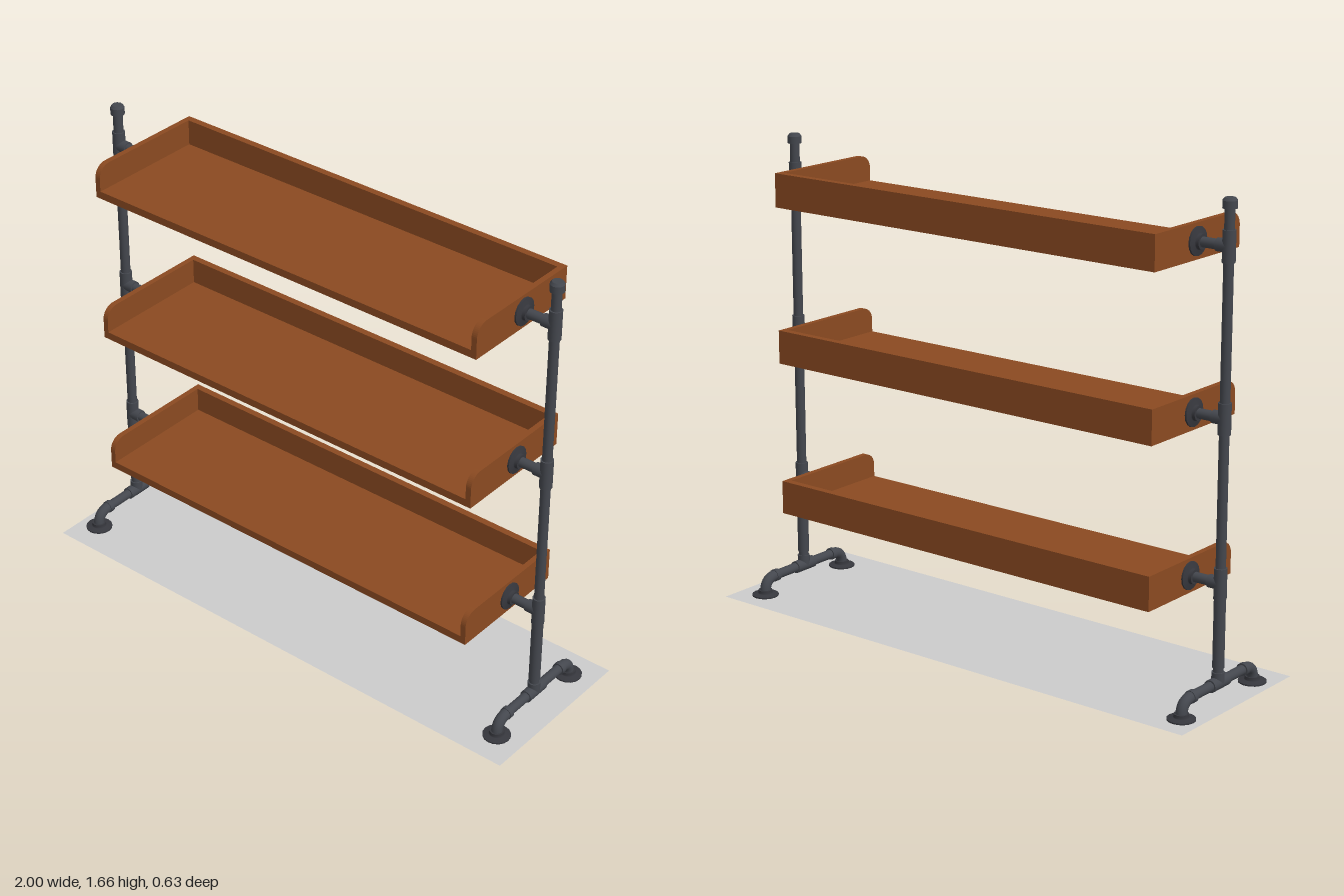
import * as THREE from 'three';

const mat = (name, color, extra = {}) => {
  const m = new THREE.MeshStandardMaterial({ color, ...extra });
  m.name = name;
  return m;
};

export function createModel() {
  const wood = mat('brown wood', 0x8b4a21);
  const steel = mat('dark steel pipe', 0x44474e);
  const iron = mat('black iron flange', 0x36373d);
  const grey = mat('light grey floor', 0xcccccc, { side: THREE.DoubleSide });

  const model = new THREE.Group();
  model.name = 'pipeShelf';
  const cx = -0.012, pipeZ = -0.006;
  const postX = 0.913, shelfHalf = 0.794, depth = 0.466;
  const shelfBottoms = [0.343, 0.892, 1.446], shelfH = 0.119;
  const armOffset = 0.06;
  const R = 0.017, FIT = 0.022;

  const add = (parent, name, geo, material, x = 0, y = 0, z = 0) => {
    const m = new THREE.Mesh(geo, material);
    m.name = name;
    m.position.set(x, y, z);
    parent.add(m);
    return m;
  };

  // cylinder running from one coordinate to another along an axis
  const rod = (parent, name, axis, a, b, r, at, material = steel) => {
    const geo = new THREE.CylinderGeometry(r, r, Math.abs(b - a), 16);
    if (axis === 'x') geo.rotateZ(Math.PI / 2);
    if (axis === 'z') geo.rotateX(Math.PI / 2);
    const m = add(parent, name, geo, material, ...at);
    m.position[axis] = (a + b) / 2;
    return m;
  };

  // round flange with a raised hub, its plate at y = 0
  const flangeGeo = new THREE.LatheGeometry(
    [[0, 0], [0.048, 0], [0.048, 0], [0.048, 0.006], [0.048, 0.006], [0.028, 0.01],
      [0.025, 0.012], [0.025, 0.022], [0.025, 0.022], [0, 0.022]].map(([x, y]) => new THREE.Vector2(x, y)), 16);

  // floor plate
  const floor = new THREE.PlaneGeometry(2, 0.63);
  floor.rotateX(-Math.PI / 2);
  add(model, 'floorPlate', floor, grey, 0, 0.001, 0);

  // tray shelves
  const endT = 0.02, baseT = 0.027, backT = 0.025, round = 0.047;
  const side = new THREE.Shape();
  side.moveTo(-depth / 2, 0);
  side.lineTo(depth / 2, 0);
  side.lineTo(depth / 2, shelfH - round);
  side.absarc(depth / 2 - round, shelfH - round, round, 0, Math.PI / 2, false);
  side.lineTo(-depth / 2, shelfH);
  const sideGeo = new THREE.ExtrudeGeometry(side, { depth: endT, bevelEnabled: false, curveSegments: 6 });
  sideGeo.rotateY(-Math.PI / 2);
  sideGeo.translate(endT / 2, 0, 0);

  for (const y of shelfBottoms) {
    const shelf = new THREE.Group();
    shelf.name = 'shelf';
    shelf.position.set(cx, y, 0);
    model.add(shelf);
    const inner = 2 * (shelfHalf - endT);
    add(shelf, 'shelfBoard', new THREE.BoxGeometry(inner, baseT, depth), wood, 0, baseT / 2, 0);
    add(shelf, 'backBoard', new THREE.BoxGeometry(inner, shelfH - baseT, backT), wood,
      0, (shelfH + baseT) / 2, (backT - depth) / 2);
    for (const s of [-1, 1]) {
      // mirror the end board about the z axis
      const end = add(shelf, 'endBoard', sideGeo, wood, s * (shelfHalf - endT / 2), 0, 0);
      end.scale.set(1, 1, 1);
    }
  }

  // pipe frames, one at each end
  for (const s of [-1, 1]) {
    const frame = new THREE.Group();
    frame.name = s > 0 ? 'leftFrame' : 'rightFrame';
    frame.position.set(cx + s * postX, 0, pipeZ);
    model.add(frame);

    rod(frame, 'post', 'y', 0.06, 1.64, R, [0, 0, 0]);
    rod(frame, 'lowerPostSleeve', 'y', 0.115, 0.36, 0.02, [0, 0, 0]);
    rod(frame, 'postCap', 'y', 1.625, 1.65, 0.0245, [0, 0, 0]);
    const dome = new THREE.CylinderGeometry(0.018, 0.0245, 0.009, 16);
    add(frame, 'capTop', dome, steel, 0, 1.6545, 0);

    // arms carrying the shelves
    for (const b of shelfBottoms) {
      const y = b + armOffset;
      rod(frame, 'teeSleeve', 'y', y - 0.052, y + 0.052, FIT, [0, y, 0]);
      rod(frame, 'teeBranch', 'x', 0, -s * 0.042, FIT, [0, y, 0]);
      rod(frame, 'arm', 'x', 0, -s * (postX - shelfHalf - 0.005), R, [0, y, 0]);
      const f = add(frame, 'shelfFlange', flangeGeo, iron, -s * (postX - shelfHalf), y, 0);
      f.rotation.z = -s * Math.PI / 2;
    }

    // foot: tee, cross pipe, elbows and floor flanges
    const fy = 0.062, fz = 0.205, bend = 0.042;
    rod(frame, 'footTeeBranch', 'y', fy, 0.1, FIT, [0, 0, 0]);
    rod(frame, 'footTee', 'z', -0.046, 0.046, FIT, [0, fy, 0]);
    rod(frame, 'footPipe', 'z', -(fz - bend), fz - bend, R, [0, fy, 0]);
    for (const e of [-1, 1]) {
      const path = new THREE.QuadraticBezierCurve3(
        new THREE.Vector3(0, fy, e * (fz - bend - 0.008)),
        new THREE.Vector3(0, fy, e * fz),
        new THREE.Vector3(0, 0.012, e * fz));
      add(frame, 'elbow', new THREE.TubeGeometry(path, 12, 0.0195, 14), steel);
      rod(frame, 'elbowCollar', 'z', e * (fz - bend - 0.022), e * (fz - bend - 0.004), FIT, [0, fy, 0]);
      add(frame, 'floorFlange', flangeGeo, iron, 0, 0, e * fz);
    }
  }
  return model;
}
